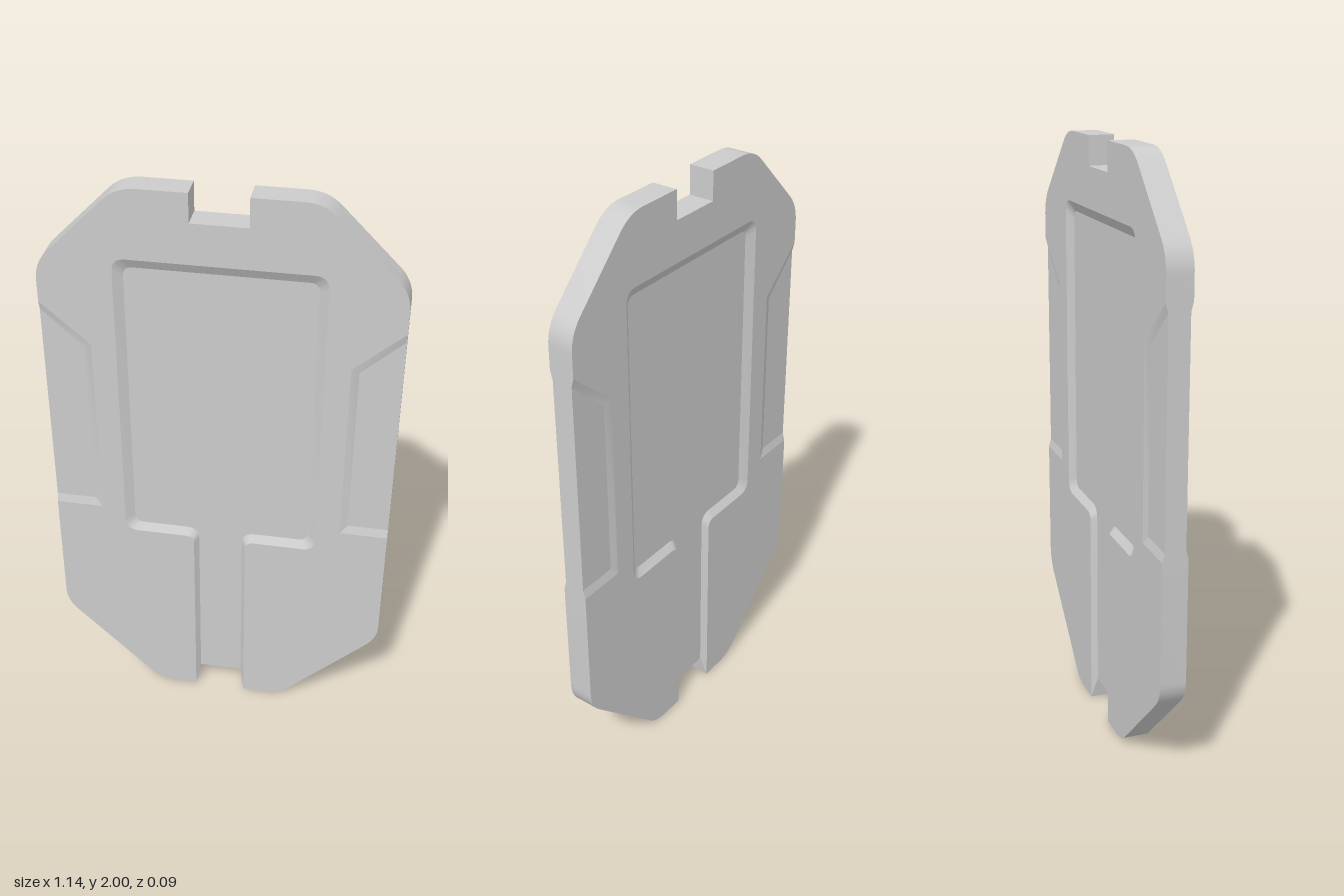
import * as THREE from 'three';
import { toCreasedNormals } from 'three/addons/utils/BufferGeometryUtils.js';

const Z = 0.043;        // half thickness of the plate
const ZPANEL = 0.023;   // level of the panel and channel floor
const ZGRIP = 0.035;    // level of the side recess floors
const material = new THREE.MeshStandardMaterial({ color: 0xcccccc });

// Points [x, y, cornerCut, z]; corners with a cut are rounded over that length.
function path(points, z) {
  const v = points.map(p => new THREE.Vector3(p[0], p[1], p[3] ?? z));
  return v.flatMap((c, i) => {
    const cut = points[i][2];
    if (!cut) return [c];
    const toward = o => c.clone().add(o.clone().sub(c).setLength(cut));
    return new THREE.QuadraticBezierCurve3(toward(v[i - 1]), c, toward(v[i + 1])).getPoints(7);
  });
}

const flip = pts => pts.map(p => new THREE.Vector3(-p.x, p.y, p.z)).reverse();

// Right half ending on the centre line, continued with its mirror image.
const mirrored = half => [...half, ...flip(half).slice(1)];

// Surface between two matching paths; b lies to the left of a.
function strip(name, a, b) {
  const pos = [];
  for (let i = 0; i < a.length - 1; i++) {
    for (const p of [a[i], a[i + 1], b[i + 1], a[i], b[i + 1], b[i]]) pos.push(p.x, p.y, p.z);
  }
  const g = new THREE.BufferGeometry();
  g.setAttribute('position', new THREE.Float32BufferAttribute(pos, 3));
  return named(name, toCreasedNormals(g, 0.4));
}

// Flat surface facing +z.
function cap(name, pts, z) {
  const shape = new THREE.Shape(pts.map(p => new THREE.Vector2(p.x, p.y)));
  return named(name, new THREE.ShapeGeometry(shape).translate(0, 0, z));
}

function named(name, geometry) {
  const mesh = new THREE.Mesh(geometry, material);
  mesh.name = name;
  return mesh;
}

export function createModel() {
  const model = new THREE.Group();
  model.name = 'plate';

  // Right half of the silhouette, split where the side recess interrupts it
  const lower = path([[0.09, 0], [0.225, 0, 0.05], [0.57, 0.345, 0.055], [0.57, 0.81]], Z);
  const upper = path([[0.57, 1.6], [0.57, 1.735, 0.06], [0.305, 2, 0.06],
    [0.09, 2], [0.09, 1.905], [0, 1.905]], Z);

  // Side recess: upper edge and floor edge
  const gripOuter = path([[0.57, 1.6], [0.41, 1.46], [0.41, 0.81], [0.57, 0.81]], Z);
  const gripInner = path([[0.57, 1.57], [0.435, 1.445], [0.435, 0.84], [0.57, 0.84]], ZGRIP);

  // Central panel with the channel running down to the bottom edge
  const panelOuter = mirrored(path([[0.09, 0], [0.09, 0.72, 0.03], [0.33, 0.72, 0.045],
    [0.33, 1.77, 0.045], [0, 1.77]], Z));
  const panelInner = mirrored(path([[0.075, 0.08], [0.075, 0.745, 0.045], [0.3, 0.745, 0.03],
    [0.3, 1.735, 0.03], [0, 1.735]], ZPANEL));

  // Outer wall, lower in height at the recesses and the channel
  const rimFront = mirrored([
    ...path([[0, 0.08], [0.075, 0.08]], ZPANEL), ...lower,
    gripInner[3], gripInner[0], ...upper]);
  const rimBack = rimFront.map(p => new THREE.Vector3(p.x, p.y, -p.z));
  model.add(strip('rim', rimBack, rimFront));

  // The same face on the front and the back
  const faceOutline = [
    ...mirrored([...lower, ...gripOuter.slice(1, 3).reverse(), ...upper]),
    ...[...panelOuter].reverse().slice(1, -1)];
  ['front', 'back'].forEach((label, i) => {
    const side = new THREE.Group();
    side.name = label + 'Side';
    side.rotation.y = i * Math.PI;
    side.add(
      cap('face', faceOutline, Z),
      cap('panelFloor', panelInner, ZPANEL),
      strip('panelBevel', panelOuter, panelInner),
      cap('leftGripFloor', gripInner, ZGRIP),
      strip('leftGripBevel', gripOuter, gripInner),
      cap('rightGripFloor', flip(gripInner), ZGRIP),
      strip('rightGripBevel', flip(gripOuter), flip(gripInner)));
    model.add(side);
  });
  return model;
}
